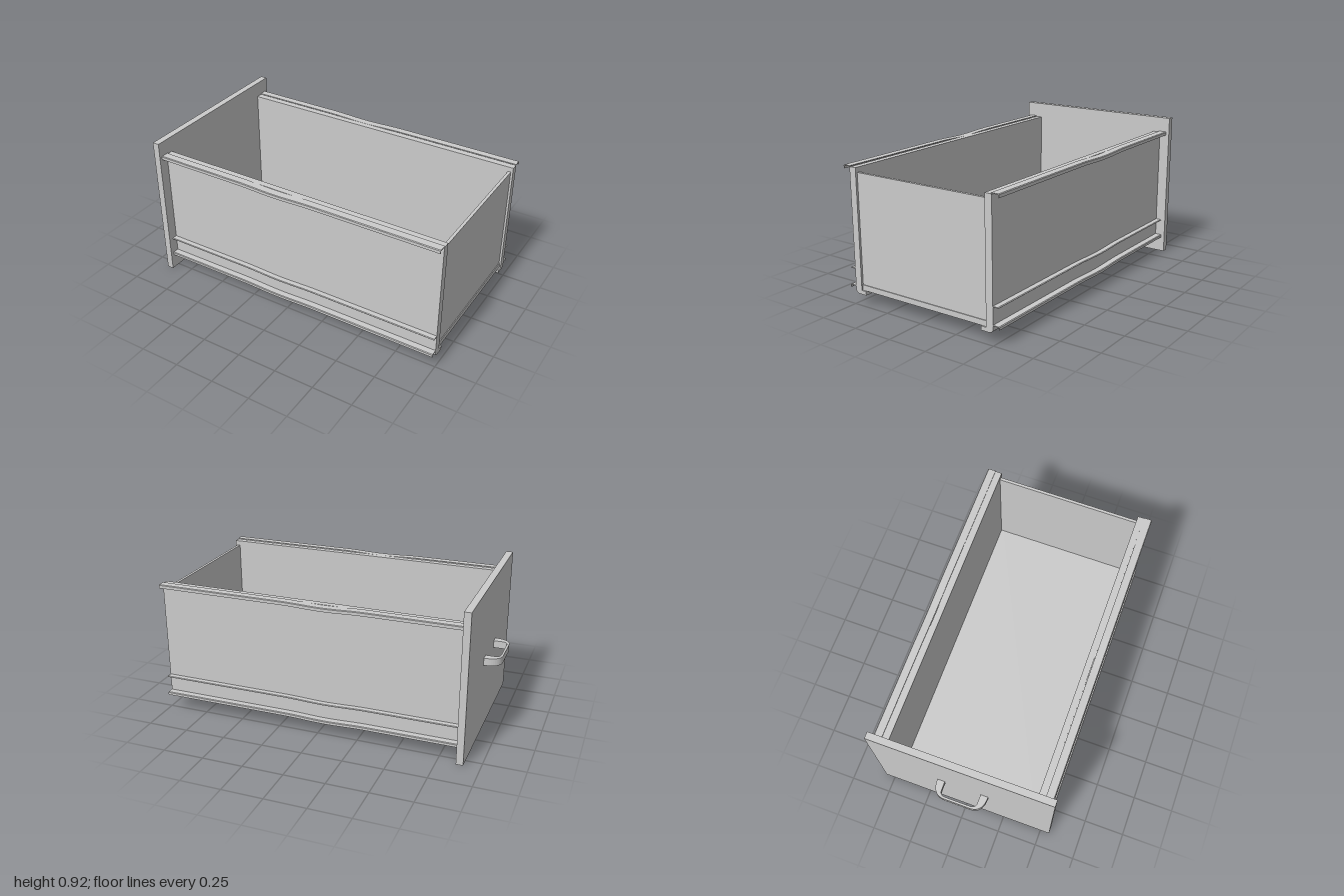
import * as THREE from 'three';

const material = new THREE.MeshStandardMaterial({ color: 0xcccccc, side: THREE.DoubleSide });
const X0 = -0.86, X1 = 0.994; // length of the drawer sides

export function createModel() {
  const root = new THREE.Group();
  root.name = 'drawer';

  const add = (name, geometry) => {
    const mesh = new THREE.Mesh(geometry, material);
    mesh.name = name;
    root.add(mesh);
    return mesh;
  };

  // Box given by its limits on each axis
  const box = (name, x0, x1, y0, y1, z0, z1) =>
    add(name, new THREE.BoxGeometry(x1 - x0, y1 - y0, z1 - z0)
      .translate((x0 + x1) / 2, (y0 + y1) / 2, (z0 + z1) / 2));

  // Slight sag of the metal profiles around the middle of their length
  const sag = (x) => {
    const t = Math.min(Math.abs(x + 0.05) / 0.26, 1);
    return 0.0035 * (1 + Math.cos(Math.PI * t));
  };

  // Profile of [z, y] points swept along x, then bent by the sag
  const sweep = (name, points, side) => {
    const shape = new THREE.Shape(points.map(([z, y]) => new THREE.Vector2(-z * side, y)));
    const geometry = new THREE.ExtrudeGeometry(shape, { depth: X1 - X0, steps: 56, bevelEnabled: false });
    geometry.rotateY(Math.PI / 2).translate(X0, 0, 0);
    const p = geometry.attributes.position;
    for (let i = 0; i < p.count; i++) p.setY(i, p.getY(i) - sag(p.getX(i)));
    geometry.computeVertexNormals();
    add(name, geometry);
  };

  // Front, floor and back boards
  box('frontPanel', -0.902, X0, 0, 0.917, -0.558, 0.558);
  box('floorPanel', X0, 0.986, 0.091, 0.124, -0.449, 0.449);
  box('backPanel', 0.963, 0.981, 0.124, 0.79, -0.449, 0.449);

  // Outer sheet with a rounded foot that turns in under the floor
  const sheet = [[0.487, 0.818], [0.487, 0.091], [0.416, 0.091], [0.416, 0.067]];
  for (let i = 0; i <= 8; i++) {
    const a = (i / 8) * Math.PI / 2;
    sheet.push([0.47 + 0.024 * Math.sin(a), 0.091 - 0.024 * Math.cos(a)]);
  }
  sheet.push([0.494, 0.818]);

  // Thin flange with a lip hanging from its outer edge
  const flange = (outer, top, lip) => [
    [0.49, top], [outer - 0.004, top], [outer, top - 0.004], [outer, top - lip],
    [outer - 0.004, top - lip], [outer - 0.004, top - 0.005], [0.49, top - 0.005],
  ];

  for (const side of [1, -1]) {
    const label = side > 0 ? 'left' : 'right';
    const inner = 0.449 * side, outer = 0.487 * side;
    box(label + 'SideBoard', X0, X1, 0.091, 0.82, Math.min(inner, outer), Math.max(inner, outer));
    sweep(label + 'SideSheet', sheet, side);
    sweep(label + 'TopRail', flange(0.539, 0.826, 0.022), side);
    sweep(label + 'MiddleRail', flange(0.529, 0.22, 0.006), side);
    sweep(label + 'LowerRail', flange(0.536, 0.114, 0.019), side);
  }

  // Bow handle drawn as (x, -z) and given its height along y
  const bow = new THREE.Shape();
  bow.moveTo(-0.902, 0.16);
  bow.bezierCurveTo(-0.965, 0.16, -1, 0.135, -1, 0.08);
  bow.lineTo(-1, -0.08);
  bow.bezierCurveTo(-1, -0.135, -0.965, -0.16, -0.902, -0.16);
  bow.lineTo(-0.902, -0.113);
  bow.lineTo(-0.955, -0.113);
  bow.quadraticCurveTo(-0.987, -0.113, -0.987, -0.075);
  bow.lineTo(-0.987, 0.075);
  bow.quadraticCurveTo(-0.987, 0.113, -0.955, 0.113);
  bow.lineTo(-0.902, 0.113);
  const handle = new THREE.ExtrudeGeometry(bow, { depth: 0.045, bevelEnabled: false, curveSegments: 12 });
  add('handle', handle.rotateX(-Math.PI / 2).translate(0, 0.445, 0));

  return root;
}
